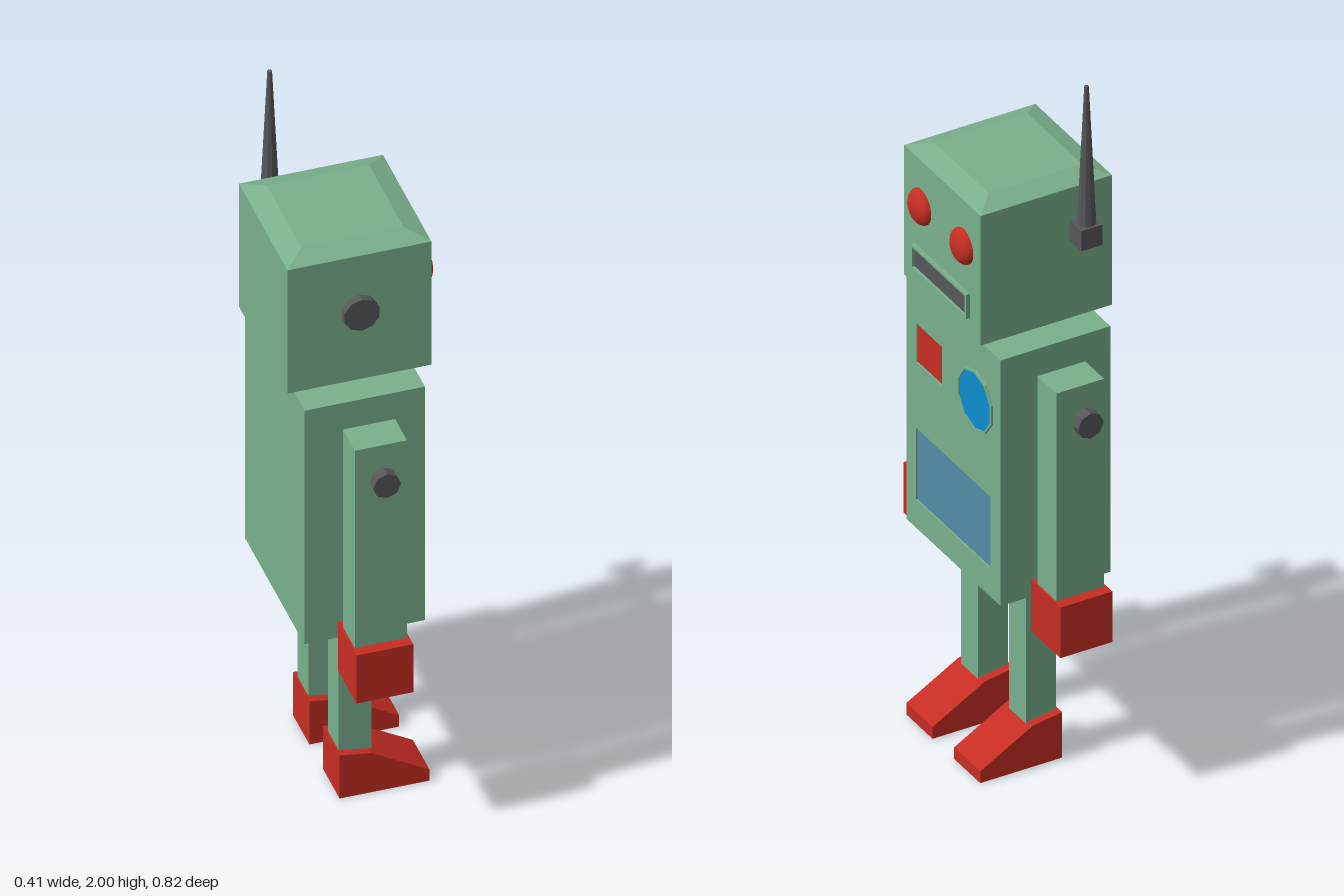
import * as THREE from 'three';

const mat = (name, color) => {
  const m = new THREE.MeshStandardMaterial({ color });
  m.name = name;
  return m;
};

export function createModel() {
  const robot = new THREE.Group();
  robot.name = 'toyRobot';
  const green = mat('paleGreen', 0x7ab08c);
  const red = mat('red', 0xc62d22);
  const dark = mat('darkGrey', 0x56575a);
  const blue = mat('brightBlue', 0x0d8ed0);
  const glass = mat('windowBlue', 0x528ea6);

  const add = (name, geo, material, x = 0, y = 0, z = 0) => {
    const mesh = new THREE.Mesh(geo, material);
    mesh.name = name;
    mesh.position.set(x, y, z);
    robot.add(mesh);
    return mesh;
  };
  // Box given by its limits on each axis
  const box = (name, material, x0, x1, y0, y1, z0, z1) =>
    add(name, new THREE.BoxGeometry(x1 - x0, y1 - y0, z1 - z0), material,
      (x0 + x1) / 2, (y0 + y1) / 2, (z0 + z1) / 2);
  // Faceted cylinder lying along z
  const bolt = (name, r, sides, z0, z1, x, y) => {
    const geo = new THREE.CylinderGeometry(r, r, Math.abs(z1 - z0), sides).toNonIndexed();
    geo.computeVertexNormals();
    geo.rotateX(Math.PI / 2);
    add(name, geo, dark, x, y, (z0 + z1) / 2);
  };
  // Outlines on the face plane, where the horizontal coordinate is -z
  const rect = (z0, z1, y0, y1) => [[-z1, y0], [-z0, y0], [-z0, y1], [-z1, y1]].map(p => new THREE.Vector2(...p));
  const decagon = (z, y, r) => Array.from({ length: 10 }, (_, i) => {
    const a = Math.PI / 2 + i * Math.PI / 5;
    return new THREE.Vector2(-z + r * Math.cos(a), y + r * Math.sin(a));
  });
  // Plate facing +x with optional openings
  const plate = (name, material, outline, holes, x0, x1) => {
    const shape = new THREE.Shape(outline);
    holes.forEach(h => shape.holes.push(new THREE.Path(h)));
    const geo = new THREE.ExtrudeGeometry(shape, { depth: x1 - x0, bevelEnabled: false });
    geo.rotateY(Math.PI / 2);
    return add(name, geo, material, x0);
  };

  // Body with a front plate holding recessed panels
  const button = rect(0.057, 0.185, 1.037, 1.153);
  const windowPane = rect(-0.185, 0.187, 0.628, 0.842);
  box('body', green, -0.175, 0.135, 0.545, 1.275, -0.235, 0.235);
  plate('bodyFront', green, rect(-0.235, 0.235, 0.545, 1.275), [button, windowPane], 0.135, 0.143);
  plate('chestButton', red, button, [], 0.134, 0.138);
  plate('chestWindow', glass, windowPane, [], 0.134, 0.138);
  plate('gaugeRim', green, decagon(-0.115, 1.092, 0.088), [decagon(-0.115, 1.092, 0.082)], 0.143, 0.15);
  plate('gauge', blue, decagon(-0.115, 1.092, 0.082), [], 0.142, 0.147);
  box('neck', green, -0.155, 0.125, 1.27, 1.31, -0.14, 0.14);

  // Head, with a shallow tapered top
  box('head', green, -0.205, 0.175, 1.305, 1.69, -0.191, 0.191);
  const crown = new THREE.BoxGeometry(0.38, 0.02, 0.382);
  const p = crown.attributes.position;
  for (let i = 0; i < p.count; i++) {
    if (p.getY(i) > 0) {
      p.setX(i, Math.sign(p.getX(i)) * 0.135);
      p.setZ(i, Math.sign(p.getZ(i)) * 0.136);
    }
  }
  crown.computeVertexNormals();
  add('headTop', crown, green, -0.015, 1.7, 0);

  // Face
  for (const s of [-1, 1]) {
    const eye = add('eye', new THREE.SphereGeometry(0.05, 18, 12), red, 0.175, 1.555, s * 0.105);
    eye.scale.x = 0.58;
  }
  const mouth = rect(-0.13, 0.132, 1.364, 1.422);
  plate('mouthFrame', green, rect(-0.137, 0.139, 1.357, 1.429), [mouth], 0.175, 0.186);
  plate('mouth', dark, mouth, [], 0.174, 0.179);

  // Ear knob on the left, antenna on the right
  bolt('earKnob', 0.048, 10, 0.188, 0.214, -0.016, 1.521);
  box('antennaBase', dark, -0.143, -0.082, 1.535, 1.595, -0.25, -0.19);
  const rod = new THREE.CylinderGeometry(0.006, 0.025, 0.405, 10).toNonIndexed();
  rod.computeVertexNormals();
  add('antenna', rod, dark, -0.114, 1.7975, -0.221);

  // Foot side profile
  const footShape = new THREE.Shape([
    [-0.065, 0], [0.172, 0], [0.172, 0.035], [0.02, 0.122], [-0.065, 0.135],
  ].map(q => new THREE.Vector2(...q)));

  // Limbs on both sides
  for (const s of [-1, 1]) {
    const side = (name, m, x0, x1, y0, y1, a, b) =>
      box(name, m, x0, x1, y0, y1, Math.min(s * a, s * b), Math.max(s * a, s * b));
    side('arm', green, -0.084, 0.054, 0.6, 1.217, 0.266, 0.36);
    side('hand', red, -0.09, 0.06, 0.45, 0.6, 0.244, 0.391);
    bolt('shoulderPin', 0.018, 8, s * 0.23, s * 0.385, -0.016, 1.127);
    bolt('shoulderBolt', 0.037, 8, s * 0.382, s * 0.412, -0.016, 1.127);
    side('leg', green, -0.06, 0.027, 0.1, 0.55, 0.078, 0.162);
    const foot = new THREE.ExtrudeGeometry(footShape, { depth: 0.13, bevelEnabled: false });
    foot.translate(0, 0, -0.065);
    add('foot', foot, red, 0, 0, s * 0.119);
  }
  return robot;
}
